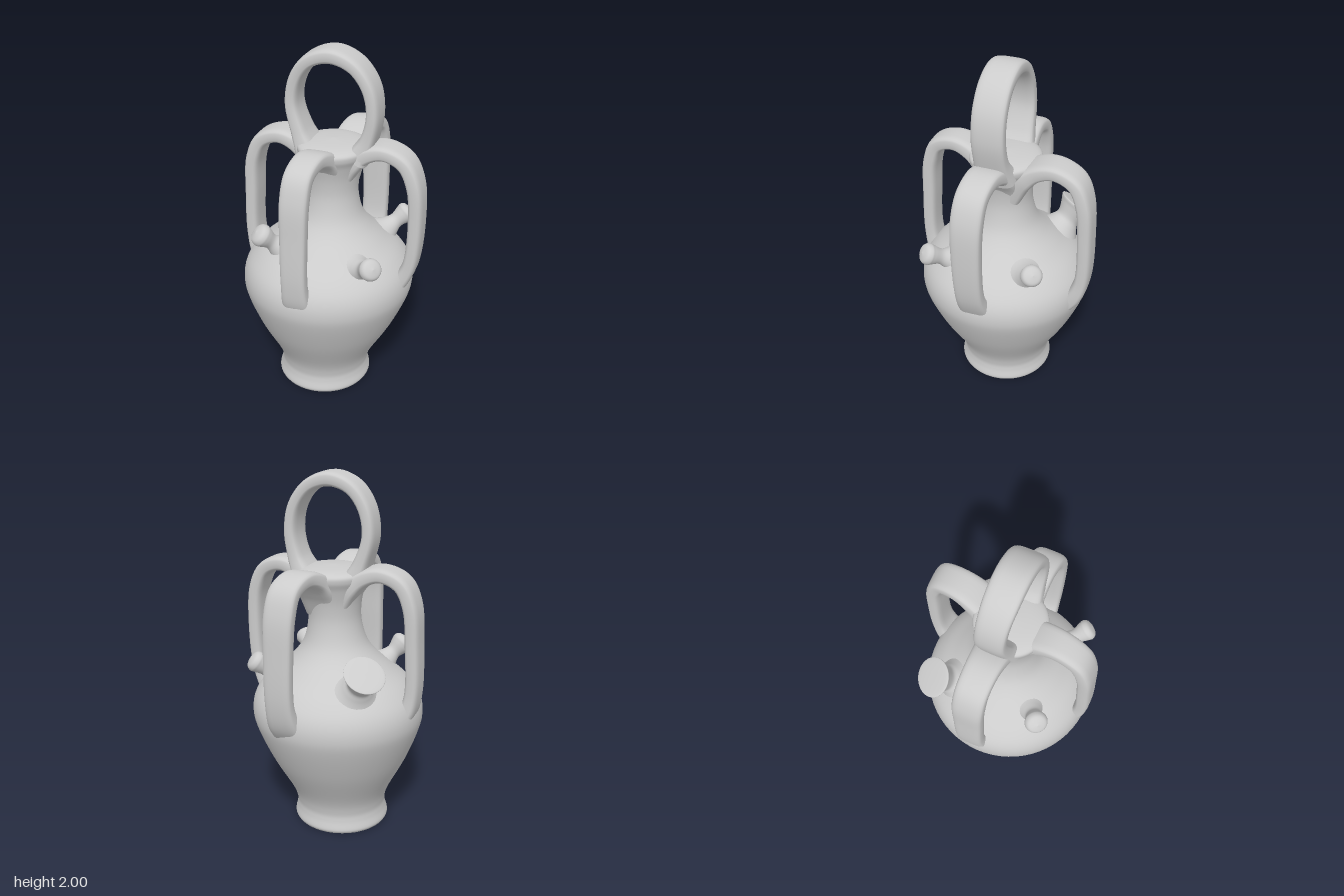
import * as THREE from 'three';

const material = new THREE.MeshStandardMaterial({ color: 0xcccccc, side: THREE.DoubleSide });

function addMesh(parent, name, geometry) {
  const mesh = new THREE.Mesh(geometry, material);
  mesh.name = name;
  parent.add(mesh);
  return mesh;
}

// Smooth lathe from a few [radius, y] points
function smoothLathe(points, steps, segments) {
  const curve = new THREE.SplineCurve(points.map(([r, y]) => new THREE.Vector2(r, y)));
  const profile = curve.getPoints(steps).map((p) => new THREE.Vector2(Math.max(p.x, 0), p.y));
  return new THREE.LatheGeometry(profile, segments);
}

// Flat clay strap: rounded-rectangle section swept along [x, y, z, width, thickness] stations
function strapGeometry(stations, side, steps = 64, ringCount = 24) {
  const path = new THREE.CatmullRomCurve3(stations.map(([x, y, z]) => new THREE.Vector3(x, y, z)));
  const size = new THREE.CatmullRomCurve3(stations.map((s) => new THREE.Vector3(s[3], s[4], 0)), false, 'catmullrom');
  const positions = [];
  const index = [];
  const round = (v) => Math.sign(v) * Math.abs(v) ** 0.55;
  for (let i = 0; i <= steps; i++) {
    const t = i / steps;
    const p = path.getPoint(t);
    const s = size.getPoint(t);
    const normal = path.getTangent(t).cross(side).normalize();
    for (let j = 0; j < ringCount; j++) {
      const a = (j / ringCount) * Math.PI * 2;
      const v = p.clone()
        .addScaledVector(side, (s.x / 2) * round(Math.cos(a)))
        .addScaledVector(normal, (s.y / 2) * round(Math.sin(a)));
      positions.push(v.x, v.y, v.z);
      if (i === steps) continue;
      const k = (j + 1) % ringCount;
      const b = i * ringCount;
      const c = b + ringCount;
      index.push(b + j, b + k, c + j, b + k, c + k, c + j);
    }
  }
  const geometry = new THREE.BufferGeometry();
  geometry.setAttribute('position', new THREE.Float32BufferAttribute(positions, 3));
  geometry.setIndex(index);
  geometry.computeVertexNormals();
  return geometry;
}

// Body: foot, belly, shoulder and closed flaring neck, leaning slightly as it rises
function addBody(group) {
  const geometry = smoothLathe([
    [0.262, 0], [0.27, 0.02], [0.258, 0.07], [0.257, 0.12], [0.286, 0.21], [0.387, 0.4],
    [0.461, 0.58], [0.48, 0.68], [0.46, 0.77], [0.4, 0.85], [0.307, 0.93], [0.223, 1.01],
    [0.172, 1.09], [0.146, 1.2], [0.15, 1.3], [0.172, 1.39], [0.192, 1.44], [0.185, 1.475],
    [0.12, 1.495], [0, 1.505],
  ], 110, 64);
  const pos = geometry.attributes.position;
  for (let i = 0; i < pos.count; i++) {
    const y = pos.getY(i);
    pos.setX(i, pos.getX(i) - 0.05 + 0.034 * y);
    pos.setZ(i, pos.getZ(i) + 0.025 - 0.01 * y);
  }
  addMesh(group, 'body', geometry);
  const base = addMesh(group, 'base', new THREE.CircleGeometry(0.262, 64));
  base.rotation.x = Math.PI / 2;
  base.position.set(-0.05, 0, 0.025);
}

// Side handle reaching out along dir; its sideways shift runs from shiftTop to shiftEnd
function addHandle(group, name, dir, side, reach, endR, shiftTop, shiftEnd, width) {
  const stations = [
    [0.06, 1.25, 1.1, 0.08], [0.115, 1.38, 1.25, 0.11], [0.19, 1.452, 1.15, 0.095],
    [0.295, 1.484, 1.04, 0.082], [0.405, 1.442, 1, 0.082], [reach - 0.018, 1.33, 1, 0.081],
    [reach, 1.12, 0.95, 0.079], [(reach + endR) / 2 + 0.016, 0.85, 0.92, 0.078],
    [endR, 0.73, 1.02, 0.09], [endR - 0.06, 0.64, 1.1, 0.09],
  ].map(([r, y, w, t]) => {
    const shift = THREE.MathUtils.lerp(shiftTop, shiftEnd, Math.min(1, r / reach));
    const p = dir.clone().multiplyScalar(r).addScaledVector(side, shift);
    return [p.x, y, p.z, w * width, t];
  });
  addMesh(group, name, strapGeometry(stations, side));
}

// Spout: root flaring into the shoulder, narrow stem and closed tip of the given radius
function addSpout(group, name, root, tip, stemR, tipR, flatTip) {
  const from = new THREE.Vector3(...root);
  const axis = new THREE.Vector3(...tip).sub(from);
  const h = axis.length();
  const end = flatTip
    ? [[tipR * 0.86, h * 0.8], [tipR, h * 0.95], [tipR * 0.95, h], [tipR * 0.5, h + 0.004], [0, h + 0.005]]
    : [[tipR * 0.93, h - tipR * 0.9], [tipR, h - tipR * 0.5], [tipR * 0.75, h - tipR * 0.1], [0, h + tipR * 0.1]];
  const geometry = smoothLathe(
    [[stemR + 0.07, -0.025], [stemR + 0.036, h * 0.06], [stemR + 0.013, h * 0.25], [stemR, h * 0.46], ...end], 40, 28);
  const mesh = addMesh(group, name, geometry);
  mesh.position.copy(from);
  mesh.quaternion.setFromUnitVectors(new THREE.Vector3(0, 1, 0), axis.normalize());
}

export function createModel() {
  const group = new THREE.Group();
  group.name = 'jug';
  addBody(group);

  // Four strap handles from neck to shoulder
  const X = new THREE.Vector3(1, 0, 0);
  const Z = new THREE.Vector3(0, 0, 1);
  addHandle(group, 'frontHandle', Z, X, 0.471, 0.45, 0.005, -0.05, 0.15);
  addHandle(group, 'backHandle', Z.clone().negate(), X, 0.473, 0.435, 0.02, 0.098, 0.165);
  addHandle(group, 'leftHandle', X, Z, 0.481, 0.405, 0.0, 0.048, 0.167);
  addHandle(group, 'rightHandle', X.clone().negate(), Z, 0.479, 0.455, 0.0, -0.02, 0.17);

  // Carrying ring on top
  addMesh(group, 'topRing', strapGeometry([
    [-0.13, 1.42, 0.005, 0.22, 0.13], [-0.178, 1.53, 0.003, 0.18, 0.085], [-0.219, 1.68, 0, 0.16, 0.071],
    [-0.193, 1.82, 0.004, 0.16, 0.071], [-0.115, 1.921, 0.01, 0.17, 0.073], [0.005, 1.959, 0.013, 0.175, 0.08],
    [0.125, 1.916, 0.016, 0.175, 0.073], [0.205, 1.81, 0.018, 0.175, 0.071], [0.229, 1.67, 0.018, 0.175, 0.071],
    [0.2, 1.53, 0.015, 0.18, 0.085], [0.145, 1.42, 0.01, 0.22, 0.13],
  ], Z, 80));

  // One wide filling spout and three small ones on the shoulder
  addSpout(group, 'fillingSpout', [-0.235, 0.89, -0.235], [-0.313, 1.03, -0.318], 0.07, 0.11, true);
  addSpout(group, 'frontRightSpout', [-0.22, 0.9, 0.222], [-0.33, 1.03, 0.313], 0.043, 0.063, false);
  addSpout(group, 'frontLeftSpout', [0.215, 0.868, 0.24], [0.34, 0.965, 0.365], 0.043, 0.06, false);
  addSpout(group, 'backLeftSpout', [0.24, 0.89, -0.185], [0.365, 1.005, -0.27], 0.043, 0.058, false);
  return group;
}
